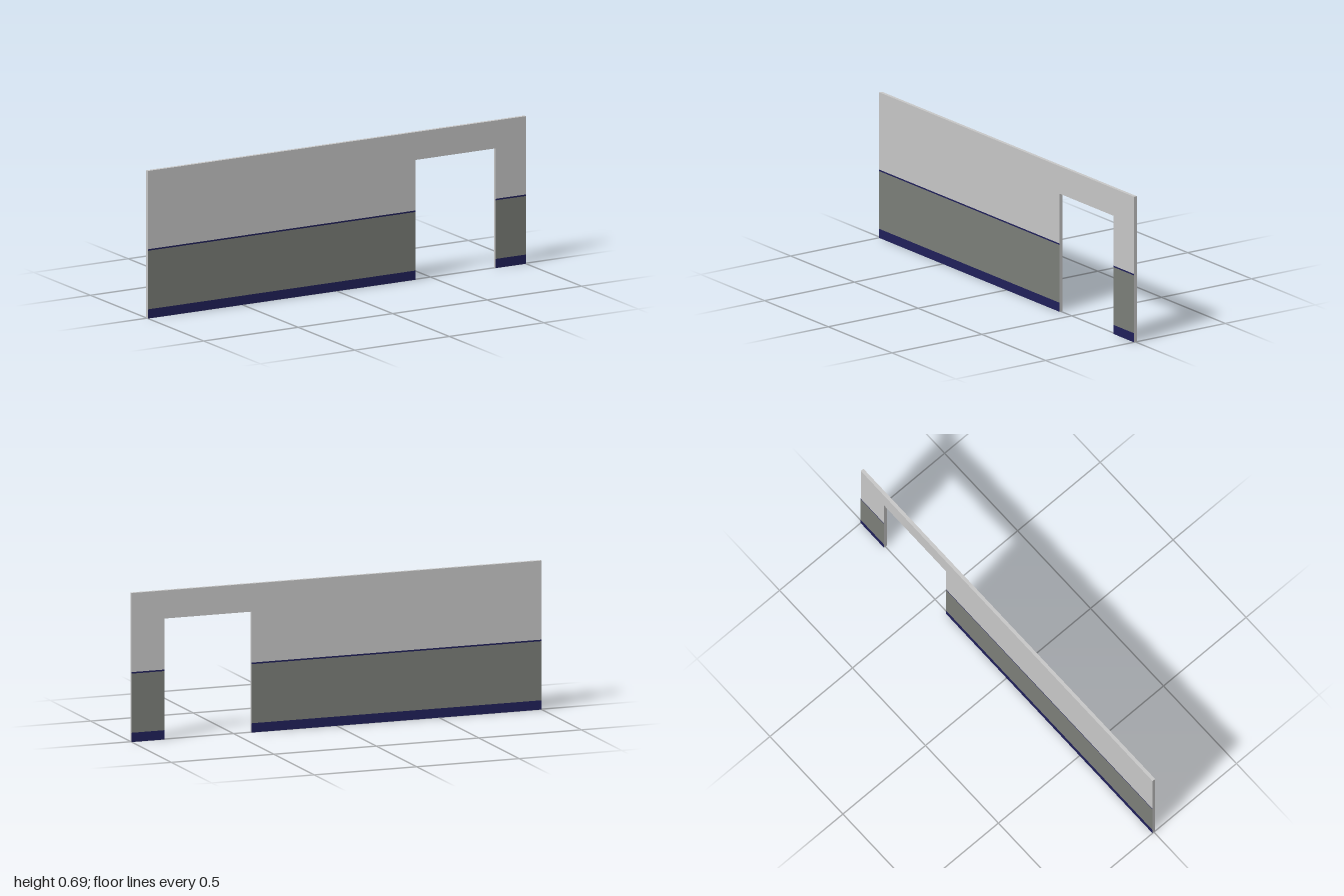
import * as THREE from 'three';

const HEIGHT = 0.69;
const DEPTH = 0.016;
const DOOR = { left: 0.415, right: 0.84, top: 0.56 };

function material(name, color) {
  const m = new THREE.MeshStandardMaterial({ color });
  m.name = name;
  return m;
}

export function createModel() {
  const group = new THREE.Group();
  group.name = 'wallWithDoorway';

  const lightGrey = material('light grey', 0xc8c8c8);
  const darkGrey = material('dark grey', 0x7c7f79);
  const navy = material('navy', 0x20205a);

  // Wall slab, notched for the doorway
  const outline = new THREE.Shape([
    [-1, 0], [DOOR.left, 0], [DOOR.left, DOOR.top], [DOOR.right, DOOR.top],
    [DOOR.right, 0], [1, 0], [1, HEIGHT], [-1, HEIGHT],
  ].map(([x, y]) => new THREE.Vector2(x, y)));
  const slab = new THREE.ExtrudeGeometry(outline, { depth: DEPTH, bevelEnabled: false });
  slab.translate(0, 0, -DEPTH / 2);
  const wall = new THREE.Mesh(slab, lightGrey);
  wall.name = 'wall';
  group.add(wall);

  // Painted bands on both faces of each pier
  const piers = [['long', -1, DOOR.left], ['short', DOOR.right, 1]];
  const bands = [
    ['Skirting', 0, 0.043, navy],
    ['Dado', 0.043, 0.317, darkGrey],
    ['DadoLine', 0.317, 0.324, navy],
  ];
  for (const [pier, x0, x1] of piers) {
    for (const [band, y0, y1, paint] of bands) {
      for (const side of [1, -1]) {
        const face = new THREE.Mesh(new THREE.PlaneGeometry(x1 - x0, y1 - y0), paint);
        face.name = pier + band + (side > 0 ? 'Front' : 'Back');
        face.position.set((x0 + x1) / 2, (y0 + y1) / 2, side * (DEPTH / 2 + 0.0006));
        if (side < 0) face.rotation.y = Math.PI;
        group.add(face);
      }
    }
  }
  return group;
}
